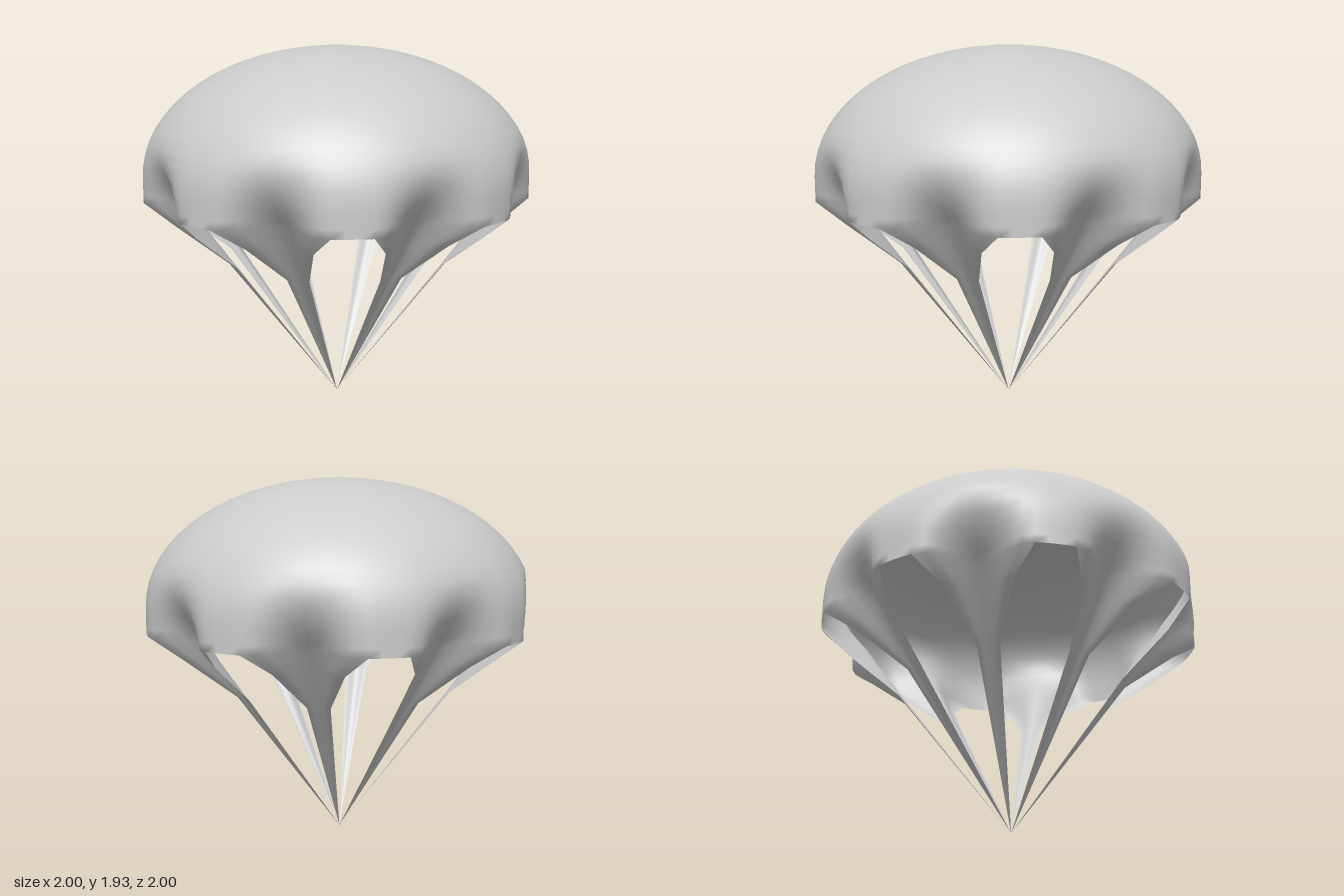
import * as THREE from 'three';

const SECTORS = 8;          // one strap and one lobe per sector
const STRAP_COLS = 10;      // columns across a strap scoop
const LOBE_COLS = 3;        // columns across the lobe between two scoops
const HALF = THREE.MathUtils.degToRad(16.9);
const COLS = STRAP_COLS + LOBE_COLS;
const RING = COLS * SECTORS;
const RADIUS = 1.04, MID = 1.25, RISE = 0.68;

// Heights of the canopy rows: an elliptical dome, then a short skirt
const heights = [];
for (let i = 0; i <= 16; i++) heights.push(MID + RISE * Math.cos((i / 16) * Math.PI / 2));
heights.push(1.2, 1.155, 1.11);

// Strap rows below the rim: height, edge distance, centre distance, half width
const strapRows = [
  [1.0, 0.87, 0.75, 0.175],
  [0.79, 0.61, 0.595, 0.06],
  [0.4, 0.309, 0.302, 0.03],
  [0, 0, 0, 0],
];

const bump = (u) => Math.cos(u * Math.PI / 2) ** 2;
const acrossStrap = (c) => (c / STRAP_COLS) * 2 - 1;

export function createModel() {
  const group = new THREE.Group();
  const positions = [];

  // Canopy: dome pressed inwards above every strap
  for (const y of heights) {
    const h = Math.max(0, (y - MID) / RISE);
    const dome = RADIUS * Math.sqrt(Math.max(0, 1 - h * h));
    const depth = 0.215 * Math.max(0, (1.46 - y) / 0.35) ** 1.5;
    for (let s = 0; s < SECTORS; s++) {
      for (let c = 0; c < COLS; c++) {
        const inScoop = c <= STRAP_COLS;
        const u = acrossStrap(c);
        const gap = Math.PI * 2 / SECTORS - 2 * HALF;
        const local = inScoop ? u * HALF : HALF + gap * (c - STRAP_COLS) / LOBE_COLS;
        const r = dome - (inScoop ? depth * bump(u) : 0);
        const a = s * Math.PI * 2 / SECTORS + local;
        positions.push(r * Math.sin(a), y, r * Math.cos(a));
      }
    }
  }
  const canopyIndex = [];
  const quad = (list, a, b, c, d) => list.push(a, b, d, b, c, d);
  for (let i = 0; i < heights.length - 1; i++) {
    for (let j = 0; j < RING; j++) {
      const k = (j + 1) % RING;
      quad(canopyIndex, i * RING + j, (i + 1) * RING + j, (i + 1) * RING + k, i * RING + k);
    }
  }

  // Straps: continue each scoop from the rim down to the meeting point
  const strapIndices = [];
  for (let s = 0; s < SECTORS; s++) {
    const a = s * Math.PI * 2 / SECTORS;
    const index = [];
    let above = (heights.length - 1) * RING + s * COLS;
    for (const [y, edge, centre, half] of strapRows) {
      const start = positions.length / 3;
      for (let c = 0; c <= STRAP_COLS; c++) {
        const u = acrossStrap(c);
        const out = edge - (edge - centre) * bump(u);
        const side = half * u;
        positions.push(out * Math.sin(a) + side * Math.cos(a), y, out * Math.cos(a) - side * Math.sin(a));
      }
      for (let c = 0; c < STRAP_COLS; c++) {
        quad(index, above + c, start + c, start + c + 1, above + c + 1);
      }
      above = start;
    }
    strapIndices.push(index);
  }

  // Shared smooth normals keep the shading continuous from canopy to straps
  const shared = new THREE.BufferGeometry();
  shared.setAttribute('position', new THREE.Float32BufferAttribute(positions, 3));
  shared.setIndex([...canopyIndex, ...strapIndices.flat()]);
  shared.computeVertexNormals();

  const material = new THREE.MeshStandardMaterial({ color: 0xcccccc, side: THREE.DoubleSide });
  const addPart = (name, index) => {
    const geometry = new THREE.BufferGeometry();
    geometry.setAttribute('position', shared.getAttribute('position'));
    geometry.setAttribute('normal', shared.getAttribute('normal'));
    geometry.setIndex(index);
    const mesh = new THREE.Mesh(geometry, material);
    mesh.name = name;
    group.add(mesh);
  };
  addPart('canopy', canopyIndex);
  strapIndices.forEach((index, s) => addPart(`strap${s + 1}`, index));

  group.name = 'parachute';
  return group;
}
